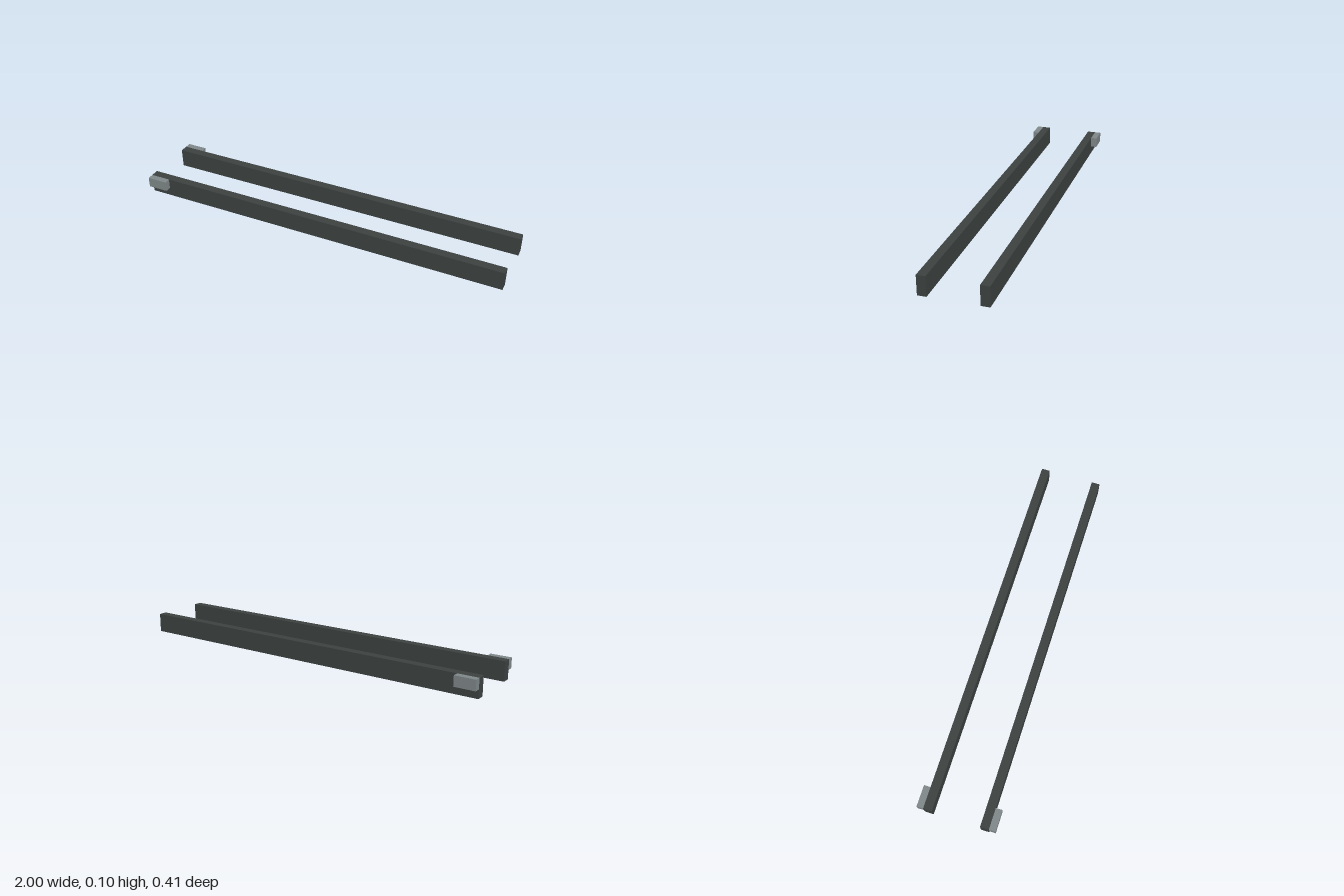
import * as THREE from 'three';

const railMaterial = new THREE.MeshStandardMaterial({ color: 0x3c4241 });
railMaterial.name = 'dark grey';
const blockMaterial = new THREE.MeshStandardMaterial({ color: 0x7f8788 });
blockMaterial.name = 'light grey';

// Box given by its minimum and maximum corners
function box(name, material, [x0, y0, z0], [x1, y1, z1]) {
  const mesh = new THREE.Mesh(new THREE.BoxGeometry(x1 - x0, y1 - y0, z1 - z0), material);
  mesh.position.set((x0 + x1) / 2, (y0 + y1) / 2, (z0 + z1) / 2);
  mesh.name = name;
  return mesh;
}

export function createModel() {
  const model = new THREE.Group();
  model.name = 'railPair';

  // Two mirrored rails, each with a small block on the outer side of one end
  for (const [prefix, side] of [['front', 1], ['back', -1]]) {
    const span = (a, b) => (side > 0 ? [a, b] : [-b, -a]);
    const [railNear, railFar] = span(0.124, 0.169);
    const [blockNear, blockFar] = span(0.169, 0.203);
    model.add(
      box(prefix + 'Rail', railMaterial, [-1, 0, railNear], [1, 0.102, railFar]),
      box(prefix + 'EndBlock', blockMaterial, [-1, 0.047, blockNear], [-0.89, 0.102, blockFar]),
    );
  }
  return model;
}
